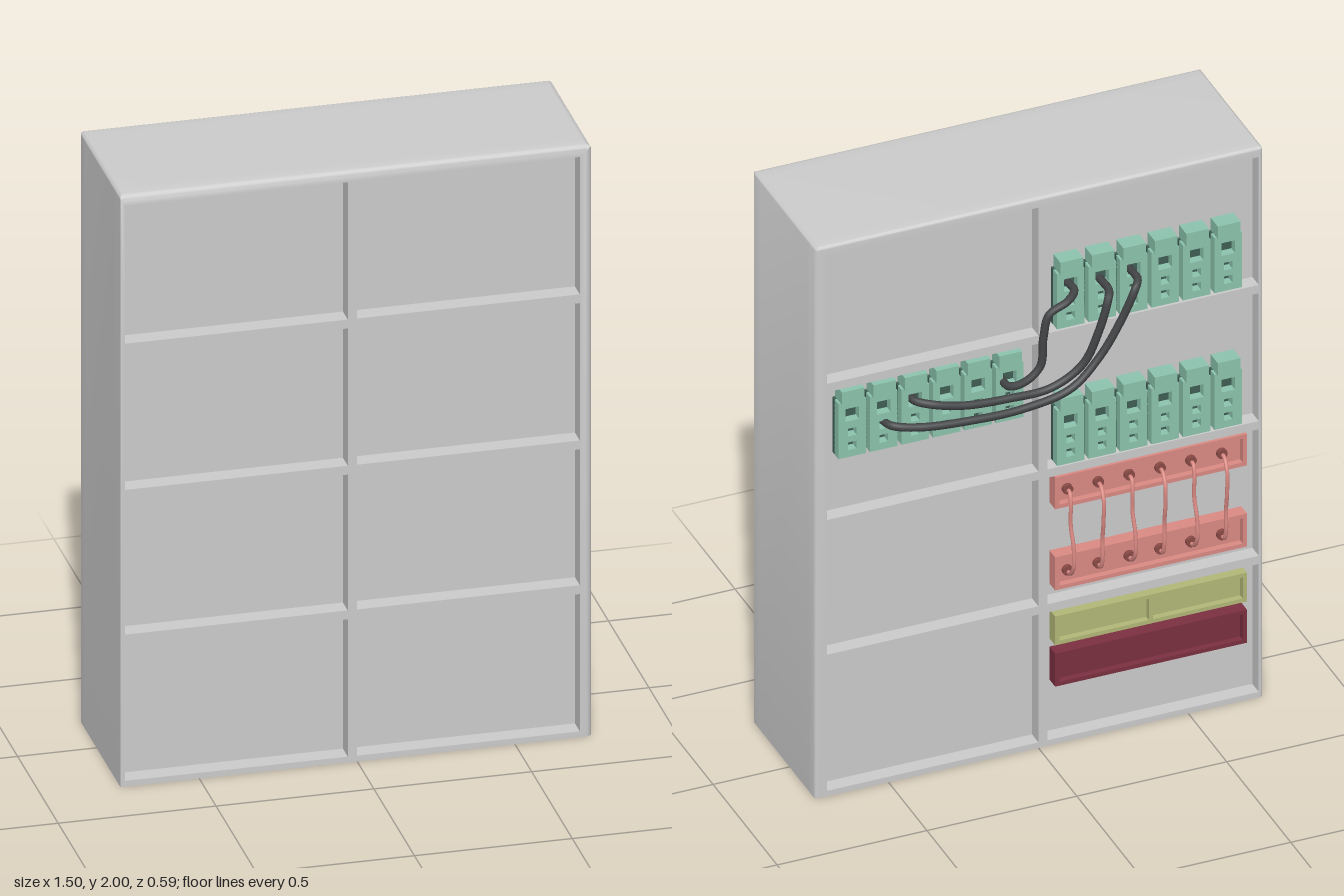
import * as THREE from 'three';
import { toCreasedNormals } from 'three/addons/utils/BufferGeometryUtils.js';

const X0 = -0.75, X1 = 0.745, Y1 = 2;
const BACK = -0.15, FRONT = 0.235; // recessed panel planes
const COLS = [[-0.735, -0.03], [0, 0.705]];
const ROWS = [[0.02, 0.485], [0.515, 0.975], [1.005, 1.47], [1.5, 1.965]];

const mat = (color) => new THREE.MeshStandardMaterial({ color });
const grey = mat(0xcccccc), green = mat(0x8cc4ae), darkGreen = mat(0x3f5f54), pink = mat(0xdb8a84),
  darkPink = mat(0x8a4a46), olive = mat(0xb2b878), maroon = mat(0x7c3040), black = mat(0x424446);

function add(parent, name, geometry, material, x = 0, y = 0, z = 0) {
  const m = new THREE.Mesh(geometry, material);
  m.name = name;
  m.position.set(x, y, z);
  parent.add(m);
  return m;
}

function rectPath(x0, x1, y0, y1, Type = THREE.Path) {
  const p = new Type();
  p.moveTo(x0, y0); p.lineTo(x1, y0); p.lineTo(x1, y1); p.lineTo(x0, y1); p.closePath();
  return p;
}

// Rectangular plate centred on x and y, with rectangular holes [x0, x1, y0, y1]
function plate(w, h, depth, holes) {
  const s = rectPath(-w / 2, w / 2, -h / 2, h / 2, THREE.Shape);
  s.holes = holes.map((q) => rectPath(...q));
  return new THREE.ExtrudeGeometry(s, { depth, bevelEnabled: false });
}

// Cabinet slice with rounded top corners; layers are [z, inset] pairs that round the outer edge
function cabinetSlice(layers, withCells, roundLeft) {
  const s = new THREE.Shape();
  const r = 0.02, l = 0.012;
  s.moveTo(X0, 0); s.lineTo(X1, 0); s.lineTo(X1, Y1 - r);
  s.absarc(X1 - r, Y1 - r, r, 0, Math.PI / 2);
  s.lineTo(X0 + l, Y1);
  s.absarc(X0 + l, Y1 - l, l, Math.PI / 2, Math.PI);
  s.closePath();
  if (withCells) for (const c of COLS) for (const q of ROWS) s.holes.push(rectPath(...c, ...q));
  const n = layers.length - 1;
  const g = new THREE.ExtrudeGeometry(s, { depth: n, steps: n, bevelEnabled: false, curveSegments: 5 });
  const p = g.attributes.position;
  for (let i = 0; i < p.count; i++) {
    const [z, inset] = layers[Math.round(p.getZ(i))];
    let x = Math.min(p.getX(i), X1 - inset);
    if (roundLeft) x = Math.max(x, X0 + inset);
    p.setXYZ(i, x, Math.min(p.getY(i), Y1 - inset), z);
  }
  return toCreasedNormals(g, 0.6);
}

// Quarter-round layers ending at zEnd; dir is the outward z direction
function roundLayers(zStart, zEnd, r, dir) {
  const out = [[zStart, 0]];
  for (let i = 0; i <= 4; i++) {
    const a = (i / 4) * Math.PI / 2;
    out.push([zEnd - dir * r * (1 - Math.sin(a)), r * (1 - Math.cos(a))]);
  }
  return dir > 0 ? out : out.reverse();
}

function tube(parent, name, points, radius, material) {
  const curve = new THREE.CatmullRomCurve3(points.map((p) => new THREE.Vector3(...p)));
  add(parent, name, new THREE.TubeGeometry(curve, points.length * 8, radius, 10), material);
}

// One terminal: holed face, dark backing and protruding cap; origin at bottom of the back panel
const faceGeo = plate(0.092, 0.2, 0.03, [
  [-0.023, 0.023, 0.03, 0.076], [-0.014, 0.014, -0.025, 0.003], [-0.014, 0.014, -0.075, -0.047]]);
const baseGeo = new THREE.BoxGeometry(0.092, 0.2, 0.02);
const capGeo = new THREE.BoxGeometry(0.076, 0.045, 0.056);
function terminalRow(name, xFirst, y) {
  const row = new THREE.Group();
  row.name = name;
  for (let i = 0; i < 6; i++) {
    const x = xFirst - i * 0.105;
    add(row, 'terminalFace', faceGeo, green, x, y + 0.1, BACK - 0.048);
    add(row, 'terminalBase', baseGeo, darkGreen, x, y + 0.1, BACK - 0.009);
    add(row, 'terminalCap', capGeo, green, x, y + 0.2225, BACK - 0.028);
  }
  return row;
}

// Shallow tray: rim frame with one or more pockets and a floor
function tray(parent, name, y0, y1, pockets, material) {
  const w = 0.64, h = y1 - y0, rim = 0.014, cell = w / pockets, holes = [];
  for (let i = 0; i < pockets; i++) {
    const left = -w / 2 + i * cell;
    holes.push([left + (i ? rim / 2 : rim), left + cell - (i < pockets - 1 ? rim / 2 : rim), -h / 2 + rim, h / 2 - rim]);
  }
  const y = (y0 + y1) / 2;
  add(parent, name + 'Rim', plate(w, h, 0.045, holes), material, -0.378, y, BACK - 0.045);
  add(parent, name + 'Floor', new THREE.BoxGeometry(w - 0.004, h - 0.004, 0.024), material, -0.378, y, BACK - 0.012);
}

export function createModel() {
  const model = new THREE.Group();
  model.name = 'wiringCabinet';

  // Cabinet: solid core with a grid frame on both faces
  add(model, 'cabinetCore', cabinetSlice([[BACK, 0], [FRONT, 0]], false, false), grey);
  add(model, 'frontFrame', cabinetSlice(roundLayers(FRONT, 0.295, 0.02, 1), true, false), grey);
  add(model, 'backFrame', cabinetSlice(roundLayers(BACK, -0.2, 0.01, -1), true, true), grey);

  // Terminal rows
  model.add(terminalRow('upperTerminals', -0.109, 1.505));
  model.add(terminalRow('lowerTerminals', -0.109, 1.008));
  model.add(terminalRow('sideTerminals', 0.62, 1.215));

  // Jumper strips with screws and looped wires
  tray(model, 'upperStrip', 0.85, 0.965, 1, pink);
  tray(model, 'lowerStrip', 0.555, 0.675, 1, pink);
  const screw = new THREE.CylinderGeometry(0.017, 0.017, 0.02, 14).rotateX(Math.PI / 2);
  for (let i = 0; i < 6; i++) {
    const x = -0.105 - i * 0.103;
    for (const y of [0.905, 0.61]) add(model, 'screw', screw, darkPink, x, y, BACK - 0.028);
    const a = i % 2 ? -0.229 : -0.214, b = i % 2 ? -0.214 : -0.229;
    tube(model, 'jumperWire', [[x, 0.9, BACK - 0.02], [x, 0.902, -0.2], [x + 0.003, 0.87, a], [x + 0.003, 0.79, a],
      [x, 0.72, b], [x, 0.645, b], [x, 0.608, -0.2], [x, 0.61, BACK - 0.02]], 0.0065, pink);
  }

  // Trays in the bottom compartment
  tray(model, 'oliveTray', 0.355, 0.46, 2, olive);
  tray(model, 'maroonTray', 0.205, 0.325, 1, maroon);

  // Heavy cables between the upper and side terminals
  tube(model, 'shortCable', [[-0.109, 1.65, -0.17], [-0.109, 1.65, -0.225], [-0.07, 1.64, -0.26], [-0.01, 1.61, -0.262],
    [0.01, 1.53, -0.262], [0.02, 1.43, -0.262], [0.07, 1.38, -0.255], [0.11, 1.36, -0.23], [0.116, 1.36, -0.17]], 0.013, black);
  tube(model, 'middleCable', [[-0.214, 1.64, -0.17], [-0.214, 1.64, -0.25], [-0.2, 1.625, -0.276], [-0.17, 1.52, -0.276],
    [-0.12, 1.4, -0.262], [-0.02, 1.335, -0.252], [0.12, 1.33, -0.25], [0.27, 1.34, -0.247], [0.37, 1.36, -0.232],
    [0.415, 1.367, -0.2], [0.415, 1.367, -0.17]], 0.013, black);
  tube(model, 'longCable', [[-0.314, 1.65, -0.17], [-0.314, 1.65, -0.24], [-0.295, 1.635, -0.266], [-0.25, 1.53, -0.262],
    [-0.18, 1.41, -0.256], [-0.08, 1.325, -0.266], [0.08, 1.293, -0.268], [0.26, 1.293, -0.266], [0.42, 1.3, -0.25],
    [0.5, 1.31, -0.222], [0.515, 1.31, -0.17]], 0.013, black);

  return model;
}
